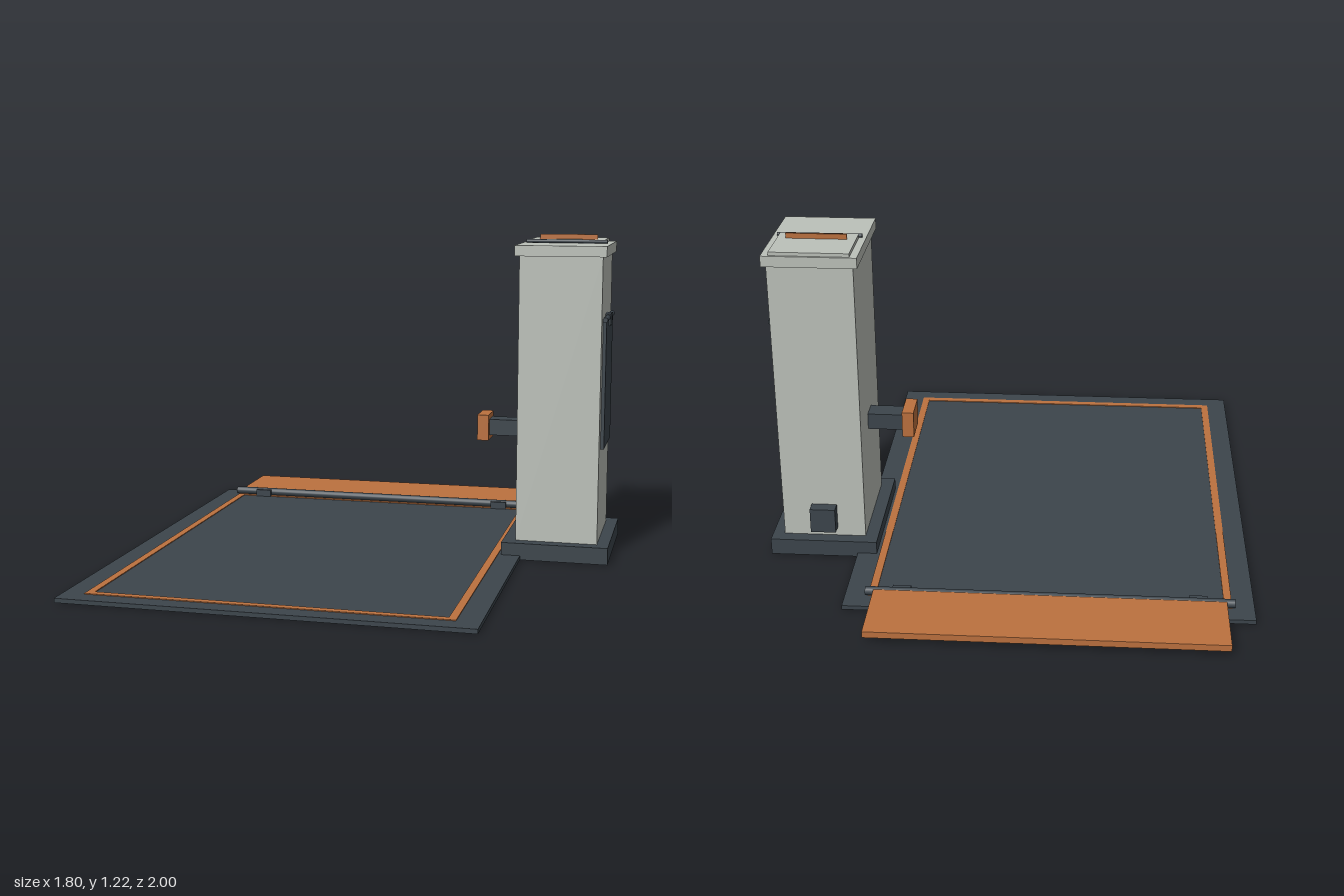
import * as THREE from 'three';

const dark = new THREE.MeshStandardMaterial({ color: 0x3c454c });
const orange = new THREE.MeshStandardMaterial({ color: 0xbc713f });
const pale = new THREE.MeshStandardMaterial({ color: 0xbcc1ba });

// Box given by its [min, max] along each axis
function box(name, mat, [x0, x1], [y0, y1], [z0, z1]) {
  const mesh = new THREE.Mesh(new THREE.BoxGeometry(x1 - x0, y1 - y0, z1 - z0), mat);
  mesh.position.set((x0 + x1) / 2, (y0 + y1) / 2, (z0 + z1) / 2);
  mesh.name = name;
  return mesh;
}

// Round rod along x or z
function rod(name, mat, axis, length, radius, x, y, z) {
  const geo = new THREE.CylinderGeometry(radius, radius, length, 16);
  if (axis === 'x') geo.rotateZ(Math.PI / 2);
  else geo.rotateX(Math.PI / 2);
  const mesh = new THREE.Mesh(geo, mat);
  mesh.position.set(x, y, z);
  mesh.name = name;
  return mesh;
}

// Flat rectangular border lying on the platform
function border(x0, x1, z0, z1, width, y, height) {
  const rect = (Type, i) => new Type().moveTo(x0 + i, -z1 + i).lineTo(x1 - i, -z1 + i)
    .lineTo(x1 - i, -z0 - i).lineTo(x0 + i, -z0 - i).closePath();
  const shape = rect(THREE.Shape, 0);
  shape.holes.push(rect(THREE.Path, width));
  const geo = new THREE.ExtrudeGeometry(shape, { depth: height, bevelEnabled: false });
  geo.rotateX(-Math.PI / 2);
  const mesh = new THREE.Mesh(geo, orange);
  mesh.position.y = y;
  mesh.name = 'borderStripe';
  return mesh;
}

function createPlatform() {
  const g = new THREE.Group();
  g.name = 'platform';
  g.add(box('platformPlate', dark, [-0.9, 0.57], [0, 0.016], [-0.8, 1]));
  g.add(border(-0.82, 0.486, -0.73, 0.93, 0.028, 0.015, 0.004));
  // Hinged ramp at the back
  g.add(box('ramp', orange, [-0.8, 0.465], [0.022, 0.046], [-1, -0.73]));
  g.add(rod('rampHinge', dark, 'x', 1.325, 0.016, -0.167, 0.034, -0.724));
  for (const x of [-0.7, 0.365]) {
    g.add(box('hingeKnuckle', dark, [x - 0.033, x + 0.033], [0.015, 0.045], [-0.73, -0.698]));
  }
  return g;
}

function createColumn() {
  const g = new THREE.Group();
  g.name = 'controlColumn';
  g.add(box('columnBase', dark, [0.497, 0.9], [0, 0.064], [-0.442, 0.064]));
  g.add(box('columnBody', pale, [0.545, 0.855], [0.064, 1.15], [-0.395, 0.015]));
  g.add(box('columnCap', pale, [0.528, 0.87], [1.15, 1.19], [-0.41, 0.03]));

  // Lid with its hinge and raised strip
  g.add(box('lid', pale, [0.555, 0.842], [1.19, 1.203], [-0.402, -0.19]));
  g.add(rod('lidHinge', dark, 'x', 0.31, 0.007, 0.698, 1.197, -0.19));
  g.add(box('lidStrip', orange, [0.588, 0.81], [1.203, 1.222], [-0.252, -0.245]));

  // Hanging side panel
  g.add(box('sidePanel', dark, [0.855, 0.868], [0.42, 0.905], [-0.325, -0.046]));
  g.add(rod('panelRail', dark, 'z', 0.31, 0.01, 0.864, 0.912, -0.187));
  g.add(box('panelClip', dark, [0.855, 0.875], [0.88, 0.926], [-0.228, -0.145]));

  // Arm with pad reaching over the platform
  g.add(box('arm', dark, [0.41, 0.55], [0.438, 0.5], [-0.233, -0.155]));
  g.add(box('armPad', orange, [0.368, 0.412], [0.42, 0.52], [-0.256, -0.13]));

  // Junction box on the back
  g.add(box('junctionBox', dark, [0.65, 0.745], [0.1, 0.196], [-0.44, -0.39]));
  return g;
}

export function createModel() {
  const model = new THREE.Group();
  model.name = 'platformWithColumn';
  model.add(createPlatform(), createColumn());
  return model;
}
